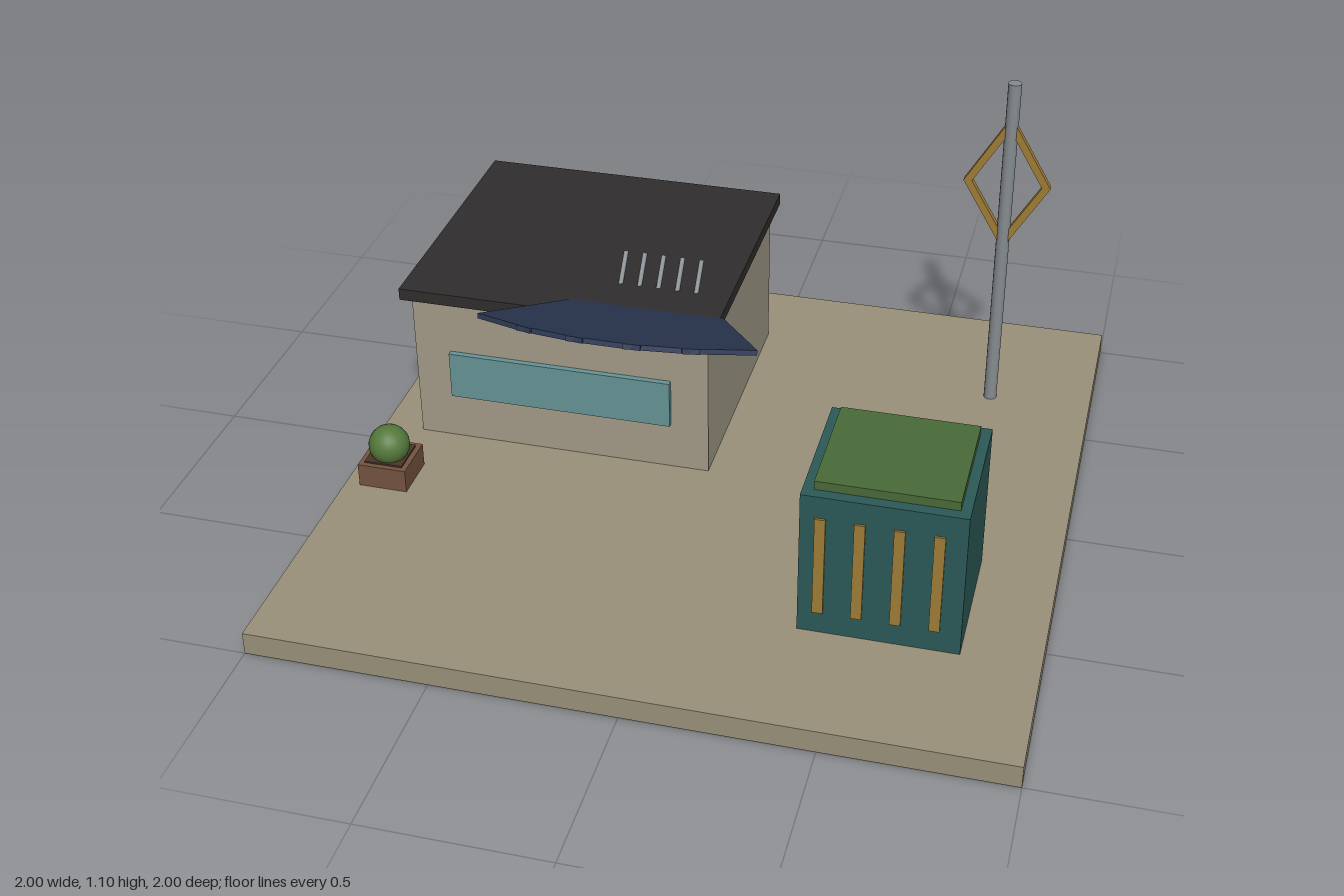
import * as THREE from 'three';

const mat = (color) => new THREE.MeshStandardMaterial({ color });
const stone = mat(0x9a917a), wall = mat(0xa39b88), dark = mat(0x302e2d), glass = mat(0x659496);
const teal = mat(0x2b5a57), gold = mat(0xa07c35), turf = mat(0x4a6b38), steel = mat(0x868c90);
const navy = mat(0x2b3854), wood = mat(0x75543f), soil = mat(0x4a3628), leaf = mat(0x55793b);

function add(parent, name, geometry, material, x = 0, y = 0, z = 0) {
  const mesh = new THREE.Mesh(geometry, material);
  mesh.name = name;
  mesh.position.set(x, y, z);
  parent.add(mesh);
  return mesh;
}

// Box given by its extents on each axis
function block(parent, name, material, [x0, x1], [y0, y1], [z0, z1]) {
  return add(parent, name, new THREE.BoxGeometry(x1 - x0, y1 - y0, z1 - z0), material,
    (x0 + x1) / 2, (y0 + y1) / 2, (z0 + z1) / 2);
}

function subgroup(parent, name, x = 0, y = 0, z = 0) {
  const group = new THREE.Group();
  group.name = name;
  group.position.set(x, y, z);
  parent.add(group);
  return group;
}

const GROUND = 0.065;

function addBuilding(root) {
  const building = subgroup(root, 'building');
  block(building, 'walls', wall, [-0.883, -0.02], [GROUND, 0.52], [-0.75, 0.015]);
  block(building, 'roof', dark, [-0.91, 0.004], [0.518, 0.553], [-0.777, 0.04]);
  block(building, 'window', glass, [-0.778, -0.128], [0.21, 0.352], [0.005, 0.032]);

  // Fan canopy: overlapping panels turned in one tilted plane
  const canopy = subgroup(building, 'fanCanopy', -0.205, 0.479, -0.217);
  canopy.rotation.x = -0.335;
  const panelGeometry = new THREE.BoxGeometry(0.2, 0.014, 0.54).translate(0, 0, 0.365);
  for (let i = -2; i <= 2; i++) {
    add(canopy, 'canopyPanel', panelGeometry, navy).rotation.y = i * 0.24;
  }

  // Row of slanted rods on the roof
  const rodGeometry = new THREE.CylinderGeometry(0.007, 0.007, 0.1, 10);
  for (let i = -2; i <= 2; i++) {
    add(building, 'roofRod', rodGeometry, steel, -0.205 + i * 0.055, 0.584, -0.175).rotation.x = -0.72;
  }
}

function addKiosk(root) {
  const kiosk = subgroup(root, 'kiosk');
  block(kiosk, 'kioskBody', teal, [0.371, 0.793], [GROUND, 0.488], [0.233, 0.633]);
  block(kiosk, 'greenRoof', turf, [0.4, 0.766], [0.488, 0.513], [0.263, 0.603]);
  for (let i = 0; i < 4; i++) {
    const x = 0.424 + i * 0.1;
    for (const z of [0.233, 0.633]) {
      block(kiosk, 'kioskSlat', gold, [x - 0.014, x + 0.014], [0.13, 0.424], [z - 0.006, z + 0.006]);
    }
  }
}

function diamond(Type, halfWidth, halfHeight) {
  const path = new Type();
  path.moveTo(halfWidth, 0).lineTo(0, halfHeight).lineTo(-halfWidth, 0).lineTo(0, -halfHeight);
  path.closePath();
  return path;
}

function addSignPole(root) {
  const sign = subgroup(root, 'signPole', 0.705, 0, -0.568);
  add(sign, 'pole', new THREE.CylinderGeometry(0.019, 0.019, 1.03, 16), steel, 0, GROUND + 0.515, 0);
  // Open diamond frame around the pole
  const shape = diamond(THREE.Shape, 0.123, 0.208);
  shape.holes.push(diamond(THREE.Path, 0.099, 0.167));
  const frame = new THREE.ExtrudeGeometry(shape, { depth: 0.02, bevelEnabled: false });
  add(sign, 'diamondFrame', frame, gold, 0, 0.785, -0.01);
}

function addPlanter(root, z) {
  const planter = subgroup(root, 'planter', -0.887, GROUND, z);
  block(planter, 'planterBox', wood, [-0.07, 0.07], [0, 0.069], [-0.07, 0.07]);
  block(planter, 'planterSoil', soil, [-0.055, 0.055], [0.06, 0.074], [-0.055, 0.055]);
  add(planter, 'bush', new THREE.SphereGeometry(0.058, 20, 14), leaf, 0, 0.104, 0);
}

export function createModel() {
  const root = new THREE.Group();
  root.name = 'plaza';
  block(root, 'groundSlab', stone, [-1, 1], [0, GROUND], [-1, 1]);
  addBuilding(root);
  addKiosk(root);
  addSignPole(root);
  for (const z of [0.25, -0.25]) addPlanter(root, z);
  return root;
}
